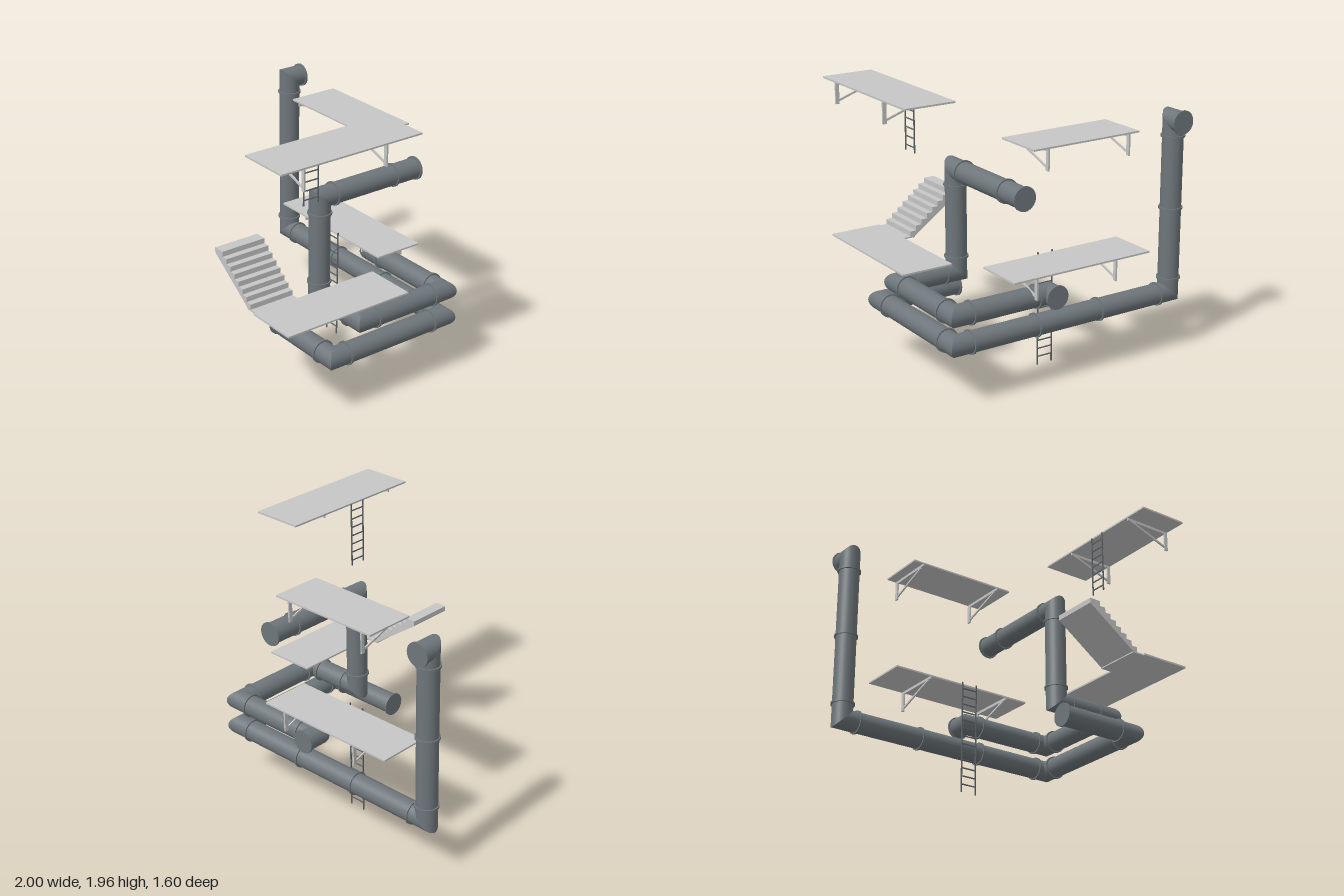
import * as THREE from 'three';

const V = (x, y, z) => new THREE.Vector3(x, y, z);
const UP = V(0, 1, 0);
const R = 0.075, RING = 0.085, ELBOW = 0.11, SECTION = 0.52;

export function createModel() {
  const model = new THREE.Group();
  const pipeMat = new THREE.MeshStandardMaterial({ color: 0x6e767b });
  pipeMat.name = 'pipe steel';
  const deckMat = new THREE.MeshStandardMaterial({ color: 0xc6c6c6 });
  deckMat.name = 'deck grey';
  const ladderMat = new THREE.MeshStandardMaterial({ color: 0x62676b });
  ladderMat.name = 'ladder steel';

  const add = (parent, name, geo, mat) => {
    const mesh = new THREE.Mesh(geo, mat);
    mesh.name = name;
    parent.add(mesh);
    return mesh;
  };
  const group = (name, parent = model) => {
    const g = new THREE.Group();
    g.name = name;
    parent.add(g);
    return g;
  };
  // box given by its lower and upper corner
  const box = (parent, name, mat, a, b) => {
    const mesh = add(parent, name, new THREE.BoxGeometry(b[0] - a[0], b[1] - a[1], b[2] - a[2]), mat);
    mesh.position.set((a[0] + b[0]) / 2, (a[1] + b[1]) / 2, (a[2] + b[2]) / 2);
    return mesh;
  };

  // cylinder between two points, its ends sheared onto the mitre planes
  function mitredTube(a, b, nStart, nEnd) {
    const d = b.clone().sub(a), len = d.length();
    d.normalize();
    const geo = new THREE.CylinderGeometry(R, R, len, 32, 1, true);
    geo.applyQuaternion(new THREE.Quaternion().setFromUnitVectors(UP, d));
    const mid = a.clone().lerp(b, 0.5);
    geo.translate(mid.x, mid.y, mid.z);
    const pos = geo.attributes.position, p = V(0, 0, 0);
    for (let i = 0; i < pos.count; i++) {
      p.fromBufferAttribute(pos, i);
      const atEnd = p.clone().sub(mid).dot(d) > 0;
      const n = atEnd ? nEnd : nStart;
      const s = -p.clone().sub(atEnd ? b : a).dot(n) / d.dot(n);
      p.addScaledVector(d, s);
      pos.setXYZ(i, p.x, p.y, p.z);
    }
    return geo;
  }

  // square-cornered pipe run with joint rings and closed ends
  function pipeRun(name, pts) {
    const run = group(name);
    const dirs = pts.slice(1).map((p, i) => p.clone().sub(pts[i]).normalize());
    const last = dirs.length - 1;
    dirs.forEach((d, i) => {
      const a = pts[i], b = pts[i + 1], len = a.distanceTo(b);
      const nStart = i > 0 ? d.clone().add(dirs[i - 1]) : d;
      const nEnd = i < last ? d.clone().add(dirs[i + 1]) : d;
      add(run, 'pipe', mitredTube(a, b, nStart, nEnd), pipeMat);

      const ring = (t) => {
        const m = add(run, 'jointRing', new THREE.CylinderGeometry(RING, RING, 0.014, 32), pipeMat);
        m.quaternion.setFromUnitVectors(UP, d);
        m.position.copy(a).addScaledVector(d, t);
      };
      if (i === 0) ring(0.007);
      else if (i === last) {
        for (let t = ELBOW; t < len - 0.1; t += SECTION) ring(t);
        ring(len - 0.007);
      } else {
        const gap = len - 2 * ELBOW;
        const n = Math.max(1, Math.floor(gap / SECTION + 0.05));
        for (let k = 0; k <= n; k++) ring(ELBOW + (gap * k) / n);
      }
    });
  }

  pipeRun('lowerPipe', [
    V(-0.915, 1.693, -0.79), V(-0.915, 1.693, -0.682), V(-0.915, 0.435, -0.682),
    V(0.865, 0.435, -0.682), V(0.865, 0.435, 0.28), V(0.26, 0.435, 0.28),
  ]);
  pipeRun('upperPipe', [
    V(0.125, 0.642, -0.79), V(0.125, 0.642, -0.682), V(0.865, 0.642, -0.682),
    V(0.865, 0.642, 0.042), V(0.402, 0.642, 0.042), V(0.402, 1.382, 0.042), V(0.402, 1.382, -0.8),
  ]);

  // wall bracket: top bar, leg on the wall side (local +x) and a diagonal brace
  function bracket(parent, x, y, z, turn) {
    const g = group('bracket', parent);
    const w = 0.006;
    box(g, 'bracketBar', deckMat, [-0.375, -0.02, -w], [0, 0, w]);
    box(g, 'bracketLeg', deckMat, [-0.028, -0.15, -w], [0, -0.02, w]);
    const from = V(-0.34, -0.018, 0), to = V(-0.02, -0.128, 0), d = to.clone().sub(from);
    const brace = add(g, 'bracketBrace', new THREE.BoxGeometry(d.length(), 0.014, 0.01), deckMat);
    brace.position.copy(from).lerp(to, 0.5);
    brace.rotation.z = Math.atan2(d.y, d.x);
    g.position.set(x, y, z);
    g.rotation.y = turn;
  }

  const T = 0.012;
  const deck = (name, x0, x1, z0, z1, top) => {
    const g = group(name);
    box(g, 'deckPlate', deckMat, [x0, top - T, z0], [x1, top, z1]);
    return g;
  };

  // decks along the right-hand wall
  const highDeck = deck('highDeck', 0.62, 1, -0.32, 0.803, 1.96);
  for (const z of [0.625, -0.03]) bracket(highDeck, 1, 1.96 - T, z, 0);
  deck('stairDeck', 0.62, 1, -0.253, 0.75, 0.822);

  // decks along the back wall
  const middleDeck = deck('middleDeck', -0.525, 0.33, -0.795, -0.423, 1.697);
  for (const x of [-0.445, 0.213]) bracket(middleDeck, x, 1.697 - T, -0.795, Math.PI / 2);
  const lowDeck = deck('lowDeck', -0.645, 0.48, -0.795, -0.423, 0.822);
  for (const x of [-0.36, 0.296]) bracket(lowDeck, x, 0.822 - T, -0.795, Math.PI / 2);

  // ladder standing at the local origin, rungs along local x
  function ladder(name, height, rungs, first, step, x, y, z, turn) {
    const g = group(name);
    for (const s of [-1, 1])
      box(g, 'ladderRail', ladderMat, [s * 0.059 - 0.004, 0, -0.004], [s * 0.059 + 0.004, height, 0.004]);
    for (let i = 0; i < rungs; i++) {
      const h = first + i * step;
      box(g, 'ladderRung', ladderMat, [-0.057, h - 0.004, -0.003], [0.057, h + 0.004, 0.003]);
    }
    g.position.set(x, y, z);
    g.rotation.y = turn;
  }
  ladder('lowLadder', 0.835, 13, 0.06, 0.0605, -0.03, 0, -0.418, 0);
  ladder('highLadder', 0.475, 7, 0.04, 0.064, 0.616, 1.48, 0.283, Math.PI / 2);

  // stairs: stepped profile with a sloping underside
  const stairs = group('stairs');
  const profile = new THREE.Shape();
  let x = 0.245, y = 1.117;
  profile.moveTo(0.16, 1.08);
  profile.lineTo(0.535, 0.815);
  const steps = [];
  for (let i = 0; i < 8; i++) {
    steps.push([x, y], [x, y - 0.037]);
    y -= 0.037;
    if (i < 7) x += 0.0457;
  }
  steps.reverse().forEach(([px, py]) => profile.lineTo(px, py));
  profile.lineTo(0.16, 1.117);
  profile.closePath();
  const flight = add(stairs, 'stairFlight',
    new THREE.ExtrudeGeometry(profile, { depth: 0.343, bevelEnabled: false }), deckMat);
  flight.position.z = 0.392;
  box(stairs, 'stairFootPlate', deckMat, [0.53, 0.81, 0.392], [0.62, 0.82, 0.735]);

  return model;
}
